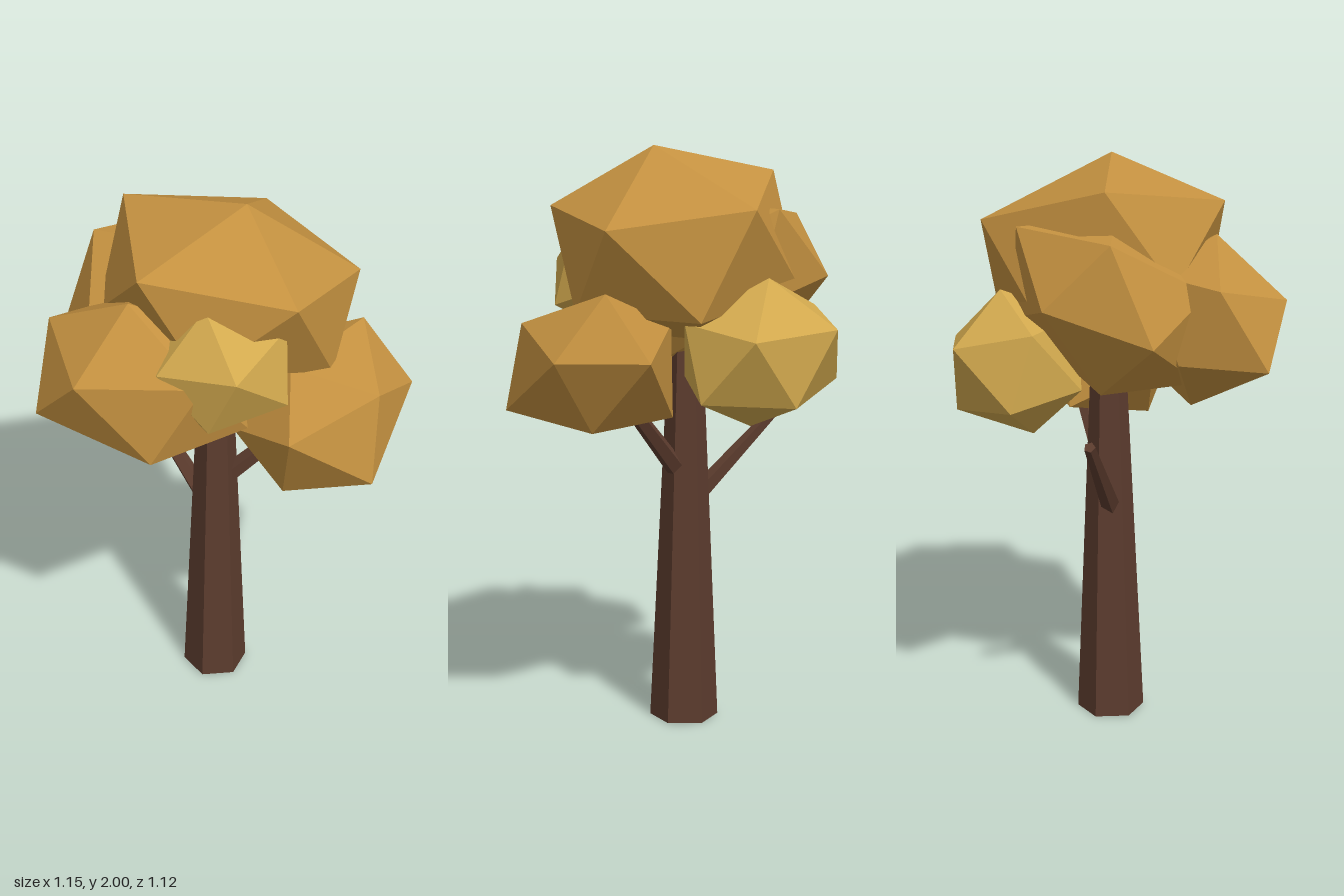
import * as THREE from 'three';

const V = (a) => new THREE.Vector3(...a);
const mat = (color) => new THREE.MeshStandardMaterial({ color, flatShading: true });

// Matrix whose columns are three corner vectors
const basis = (a, b, c) => new THREE.Matrix4().makeBasis(a, b, c);

// Faceted leaf clump: an icosahedron stretched so that one face has the three given corners;
// each pin then pulls the nearest corner onto itself for an irregular outline
function clump(name, material, center, corners, pins = []) {
  const geo = new THREE.IcosahedronGeometry(1, 0);
  const pos = geo.attributes.position;
  const at = (i) => new THREE.Vector3().fromBufferAttribute(pos, i);
  const mid = V(center);
  const [p, q, r] = corners.map((k) => V(k).sub(mid));
  const from = basis(at(0), at(1), at(2));
  let to = basis(p, q, r);
  // keep the same winding as the source face
  if (from.determinant() * to.determinant() < 0) to = basis(p, r, q);
  geo.applyMatrix4(to.multiply(from.invert()));
  for (const pin of pins) {
    const target = V(pin).sub(mid);
    const dist = Array.from({ length: pos.count }, (_, i) => at(i).distanceTo(target));
    const nearest = at(dist.indexOf(Math.min(...dist)));
    for (let i = 0; i < pos.count; i++) {
      if (at(i).distanceTo(nearest) < 1e-4) pos.setXYZ(i, target.x, target.y, target.z);
    }
  }
  geo.computeVertexNormals();
  const mesh = new THREE.Mesh(geo, material);
  mesh.name = name;
  mesh.position.copy(mid);
  return mesh;
}

// Tapered limb between two points
function limb(name, material, start, end, r0, r1, sides) {
  const s = V(start), e = V(end);
  const dir = e.clone().sub(s);
  const mesh = new THREE.Mesh(new THREE.CylinderGeometry(r1, r0, dir.length(), sides), material);
  mesh.name = name;
  mesh.position.copy(s).add(e).multiplyScalar(0.5);
  mesh.quaternion.setFromUnitVectors(new THREE.Vector3(0, 1, 0), dir.normalize());
  return mesh;
}

export function createModel() {
  const tree = new THREE.Group();
  tree.name = 'tree';
  const bark = mat(0x5c3c2e);
  const leaf = mat(0xc49140);
  const paleLeaf = mat(0xd2a94e);

  // Trunk and branches
  tree.add(
    limb('trunk', bark, [0.058, 0.002, -0.045], [0.06, 1.5, -0.05], 0.12, 0.052, 6),
    limb('backBranch', bark, [0.04, 0.76, -0.06], [-0.035, 1.085, -0.37], 0.036, 0.02, 5),
    limb('frontBranch', bark, [0.08, 0.88, -0.03], [0.32, 1.2, 0.18], 0.036, 0.024, 5),
  );

  // Foliage: centre, the three corners of one face, then pins
  tree.add(
    clump('crownFoliage', leaf, [0.085, 1.665, -0.01],
      [[0.1, 2, 0.06], [0.45, 1.725, 0.22], [0.035, 1.8, 0.41]],
      [[-0.32, 1.86, 0.06], [-0.09, 1.92, -0.36], [0.43, 1.79, -0.26]]),
    clump('frontLeftFoliage', leaf, [0.28, 1.28, 0.265],
      [[0.48, 1.53, 0.22], [0.575, 1.32, 0.38], [0.32, 1.425, 0.495]],
      [[0.26, 1.13, 0.555], [0.01, 1.31, 0.42], [0.24, 1.1, 0]]),
    clump('rightFoliage', leaf, [-0.275, 1.46, 0],
      [[-0.555, 1.55, 0.04], [-0.38, 1.275, 0.2], [-0.235, 1.55, 0.285]],
      [[-0.58, 1.35, -0.17], [-0.45, 1.62, -0.27]]),
    clump('backFoliage', leaf, [-0.03, 1.53, -0.22],
      [[0.24, 1.79, -0.35], [0.04, 1.56, -0.54], [-0.155, 1.77, -0.45]],
      [[-0.3, 1.45, -0.44]]),
    clump('smallFrontFoliage', paleLeaf, [-0.085, 1.56, 0.19],
      [[-0.19, 1.61, 0.4], [0.015, 1.46, 0.4], [0.05, 1.7, 0.34]]),
    clump('backLeftFoliage', paleLeaf, [0.285, 1.32, -0.285],
      [[0.55, 1.38, -0.25], [0.33, 1.57, -0.31], [0.38, 1.405, -0.53]],
      [[0.15, 1.22, -0.56]]),
  );
  return tree;
}
